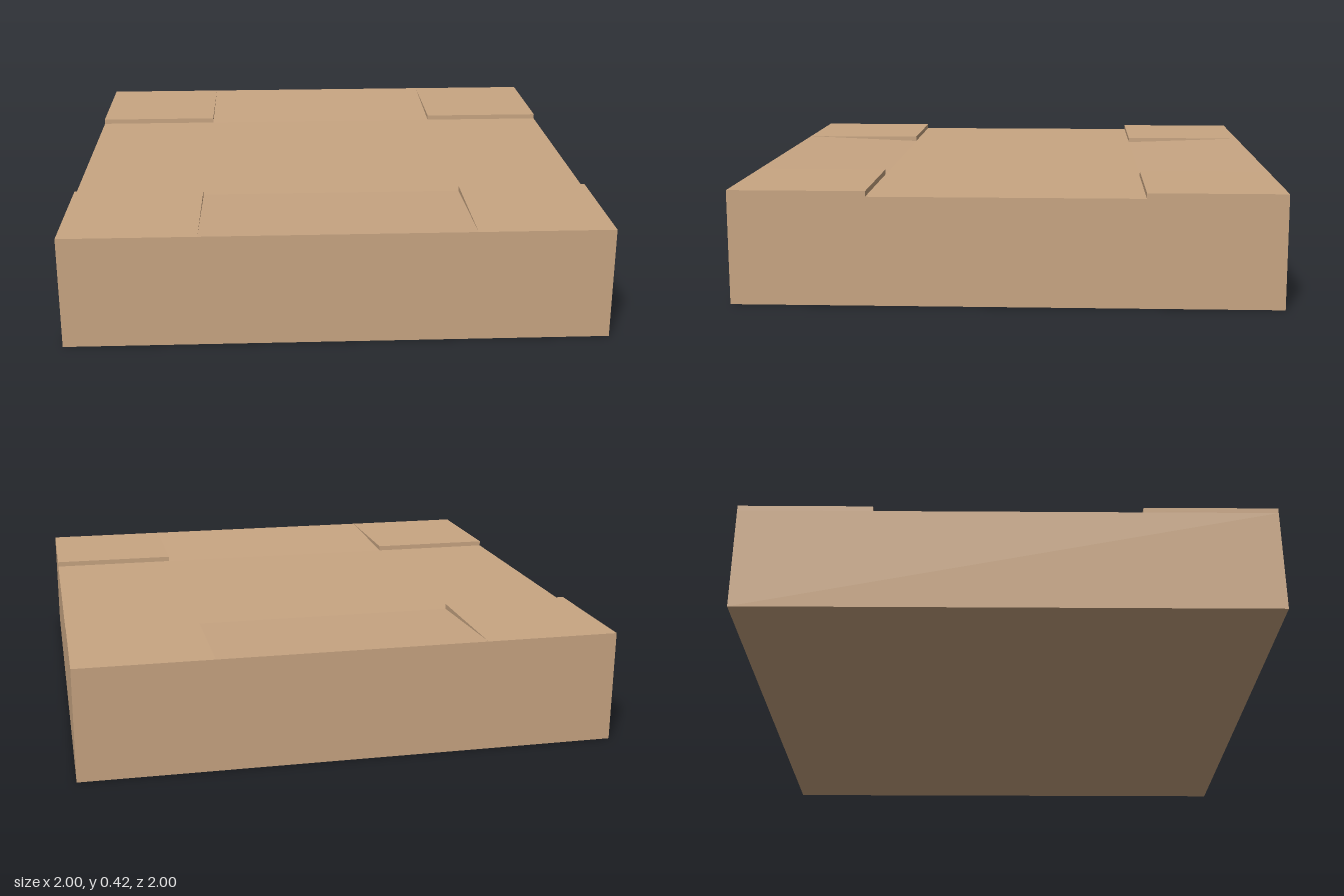
import * as THREE from 'three';

const BASE = 0.4, RISE = 0.02;

export function createModel() {
  const group = new THREE.Group();
  const tan = new THREE.MeshStandardMaterial({ color: 0xc8a582 });
  tan.name = 'tan';

  const add = (name, geometry, x = 0, y = 0, z = 0) => {
    const mesh = new THREE.Mesh(geometry, tan);
    mesh.name = name;
    mesh.position.set(x, y, z);
    group.add(mesh);
    return mesh;
  };

  // Square slab
  add('baseSlab', new THREE.BoxGeometry(2, BASE, 2), 0, BASE / 2, 0);

  // Raised square pad on each corner
  const pad = new THREE.BoxGeometry(0.5, RISE, 0.5);
  for (const [side, x] of [['Left', 0.75], ['Right', -0.75]]) {
    for (const [end, z] of [['front', 0.75], ['back', -0.75]]) {
      add(`${end}${side}CornerPad`, pad, x, BASE + RISE / 2, z);
    }
  }

  // Shallow ramps rising to the front and back edges between the pads
  const profile = new THREE.Shape([
    new THREE.Vector2(0.5, BASE),
    new THREE.Vector2(1, BASE),
    new THREE.Vector2(1, BASE + RISE),
  ]);
  const ramp = new THREE.ExtrudeGeometry(profile, { depth: 1, bevelEnabled: false });
  ramp.translate(0, 0, -0.5).rotateY(-Math.PI / 2);
  add('frontRamp', ramp);
  add('backRamp', ramp).rotation.y = Math.PI;

  return group;
}
